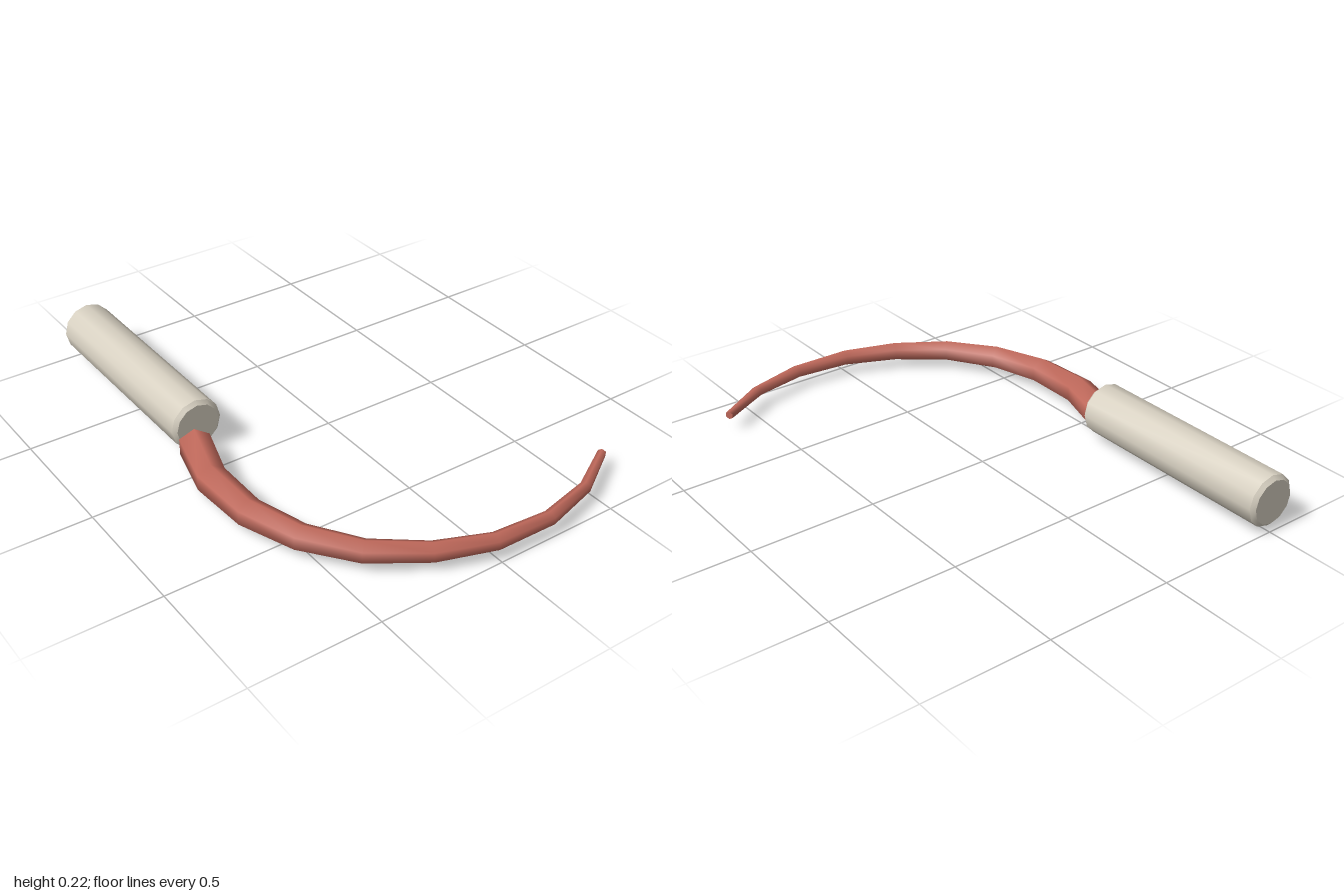
import * as THREE from 'three';
import { toCreasedNormals } from 'three/addons/utils/BufferGeometryUtils.js';

const SIDES = 6;

// Tapered hexagonal tube through points on a level plane, closed at both ends
function taperedLash(path, y, r0, r1) {
  const up = new THREE.Vector3(0, 1, 0);
  const pts = path.map(([x, z]) => new THREE.Vector3(x, y, z));
  const last = pts.length - 1;
  const pos = [], index = [];
  pts.forEach((p, i) => {
    const into = p.clone().sub(pts[Math.max(i - 1, 0)]).normalize();
    const out = pts[Math.min(i + 1, last)].clone().sub(p).normalize();
    const side = up.clone().cross(into.add(out).normalize());
    const r = r0 + (r1 - r0) * i / last;
    for (let j = 0; j < SIDES; j++) {
      const a = j / SIDES * Math.PI * 2;
      const v = p.clone().addScaledVector(up, r * Math.cos(a)).addScaledVector(side, r * Math.sin(a));
      pos.push(v.x, v.y, v.z);
    }
  });
  const c0 = pos.length / 3, c1 = c0 + 1;
  pos.push(...pts[0].toArray(), ...pts[last].toArray());
  for (let j = 0; j < SIDES; j++) {
    const k = (j + 1) % SIDES;
    for (let i = 0; i < last; i++) {
      const a = i * SIDES + j, d = i * SIDES + k;
      index.push(a, a + SIDES, d, a + SIDES, d + SIDES, d);
    }
    index.push(c0, j, k, c1, last * SIDES + k, last * SIDES + j);
  }
  const geo = new THREE.BufferGeometry();
  geo.setAttribute('position', new THREE.Float32BufferAttribute(pos, 3));
  geo.setIndex(index);
  return toCreasedNormals(geo, 1.1);
}

export function createModel() {
  const group = new THREE.Group();
  const cream = new THREE.MeshStandardMaterial({ color: 0xd6cfc0 });
  cream.name = 'cream';
  const red = new THREE.MeshStandardMaterial({ color: 0xc0695b });
  red.name = 'dusty red';

  // Handle: twelve-sided bar with bevelled ends, lying along x
  const half = 0.443, r = 0.102, bevel = 0.015;
  const profile = [
    [0, -half], [r - bevel, -half], [r, -half + bevel],
    [r, half - bevel], [r - bevel, half], [0, half],
  ].map(([x, y]) => new THREE.Vector2(x, y));
  const handle = new THREE.Mesh(toCreasedNormals(new THREE.LatheGeometry(profile, 12), 0.6), cream);
  handle.name = 'handle';
  handle.rotation.z = -Math.PI / 2;
  handle.position.set(-1 + half, 0.124, 0.5);
  group.add(handle);

  // Lash: curls forward, out to the side and round to the back
  const path = [
    [-0.093, 0.53], [0.125, 0.592], [0.36, 0.586], [0.57, 0.517], [0.753, 0.387],
    [0.885, 0.205], [0.963, 0], [0.974, -0.23], [0.918, -0.45], [0.803, -0.642],
  ];
  const lash = new THREE.Mesh(taperedLash(path, 0.067, 0.066, 0.017), red);
  lash.name = 'lash';
  group.add(lash);
  return group;
}
